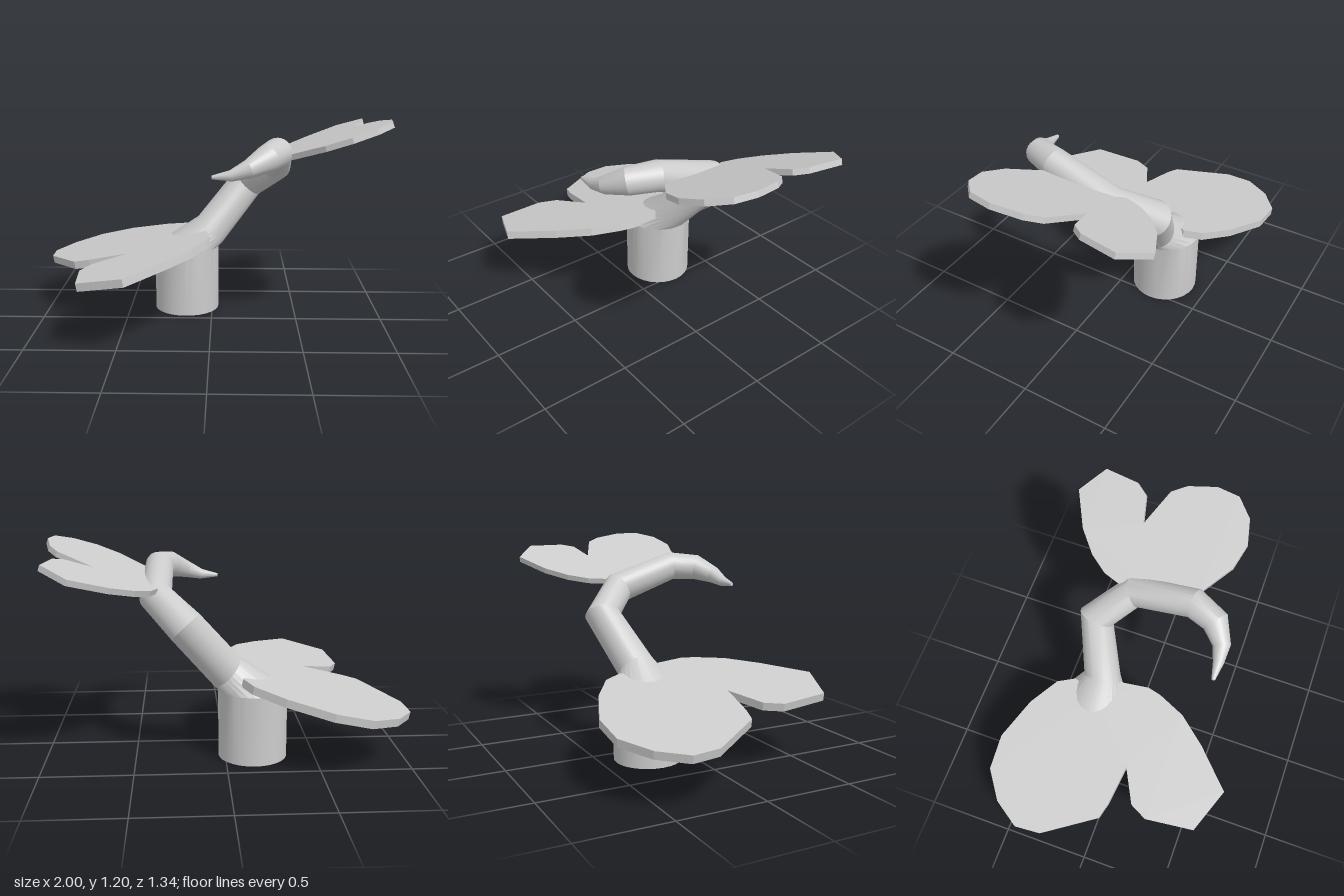
import * as THREE from 'three';
import { toCreasedNormals } from 'three/addons/utils/BufferGeometryUtils.js';

const material = new THREE.MeshStandardMaterial({ color: 0xcccccc });
const SIDES = 28;

// Closed tube through circular rings [x, y, z, radius]; the first two rings stay level
function createStem(rings) {
  const points = rings.map(([x, y, z]) => new THREE.Vector3(x, y, z));
  const turn = new THREE.Quaternion();
  const step = new THREE.Quaternion();
  const positions = [];
  const index = [];
  let previous = new THREE.Vector3(0, 1, 0);

  rings.forEach(([, , , radius], i) => {
    const before = points[Math.max(i - 1, 0)];
    const here = points[i];
    const after = points[Math.min(i + 1, rings.length - 1)];
    const tangent = i < 2
      ? new THREE.Vector3(0, 1, 0)
      : here.clone().sub(before).normalize().add(after.clone().sub(here).normalize()).normalize();
    turn.premultiply(step.setFromUnitVectors(previous, tangent));
    previous = tangent;
    for (let s = 0; s < SIDES; s++) {
      const angle = (s / SIDES) * Math.PI * 2;
      const p = new THREE.Vector3(Math.sin(angle), 0, Math.cos(angle))
        .multiplyScalar(radius).applyQuaternion(turn).add(here);
      positions.push(p.x, p.y, p.z);
      if (i > 0) {
        const a = (i - 1) * SIDES + s;
        const b = (i - 1) * SIDES + (s + 1) % SIDES;
        index.push(a, b, b + SIDES, a, b + SIDES, a + SIDES);
      }
    }
  });

  // End caps
  const last = (rings.length - 1) * SIDES;
  for (let s = 1; s < SIDES - 1; s++) {
    index.push(0, s + 1, s, last, last + s, last + s + 1);
  }
  const geometry = new THREE.BufferGeometry();
  geometry.setAttribute('position', new THREE.Float32BufferAttribute(positions, 3));
  geometry.setIndex(index);
  return toCreasedNormals(geometry, 0.4);
}

// Flat slab with an [x, z] outline, lying under the plane y = c + a*x + b*z
function createLeaf(outline, a, b, c, thickness) {
  const shape = new THREE.Shape(outline.map(([x, z]) => new THREE.Vector2(x, z)));
  const geometry = new THREE.ExtrudeGeometry(shape, { depth: thickness, bevelEnabled: false });
  geometry.rotateX(Math.PI / 2);
  const normal = new THREE.Vector3(-a, 1, -b).normalize();
  const position = geometry.attributes.position;
  const p = new THREE.Vector3();
  for (let i = 0; i < position.count; i++) {
    p.fromBufferAttribute(position, i);
    const depth = p.y;
    p.y = c + a * p.x + b * p.z;
    p.addScaledVector(normal, depth);
    position.setXYZ(i, p.x, p.y, p.z);
  }
  geometry.computeVertexNormals();
  return geometry;
}

export function createModel() {
  const model = new THREE.Group();
  model.name = 'curledSprout';

  const add = (name, geometry) => {
    const mesh = new THREE.Mesh(geometry, material);
    mesh.name = name;
    model.add(mesh);
  };

  // Thick upright base, bending stem and curled pointed tip
  add('stem', createStem([
    [-0.155, 0, -0.228, 0.193],
    [-0.155, 0.39, -0.228, 0.193],
    [-0.01, 0.49, -0.23, 0.108],
    [0.215, 0.765, -0.335, 0.102],
    [0.375, 0.9, -0.165, 0.092],
    [0.36, 1.02, 0.185, 0.083],
    [0.3, 1.01, 0.325, 0.075],
    [0.2, 0.967, 0.395, 0.05],
    [0.11, 0.935, 0.408, 0.03],
    [0.01, 0.927, 0.412, 0.01],
  ]));

  // Large low leaf with a cut in its outer edge
  add('lowerLeaf', createLeaf([
    [-1, -0.41], [-0.9, -0.56], [-0.74, -0.67], [-0.54, -0.675], [-0.3, -0.58],
    [-0.14, -0.47], [-0.09, -0.37], [-0.15, -0.23], [-0.03, -0.11], [-0.01, 0.06],
    [-0.03, 0.14], [-0.1, 0.3], [-0.23, 0.46], [-0.435, 0.665], [-0.69, 0.57],
    [-0.72, 0.29], [-0.67, 0.19], [-0.48, 0.09], [-0.71, 0.06], [-0.8, 0.035],
    [-0.99, -0.26],
  ], 0.206, 0.04, 0.518, 0.045));

  // Smaller high leaf with a cut in its outer edge
  add('upperLeaf', createLeaf([
    [0.36, -0.25], [0.395, -0.35], [0.47, -0.45], [0.59, -0.55], [0.785, -0.645],
    [0.93, -0.53], [0.9, -0.33], [0.85, -0.265], [0.7, -0.23], [0.9, -0.14],
    [0.95, -0.06], [0.985, 0.1], [0.965, 0.23], [0.87, 0.32], [0.735, 0.355],
    [0.6, 0.32], [0.43, 0.19], [0.4, 0], [0.41, -0.19],
  ], 0.336, 0.069, 0.855, 0.032));

  return model;
}
